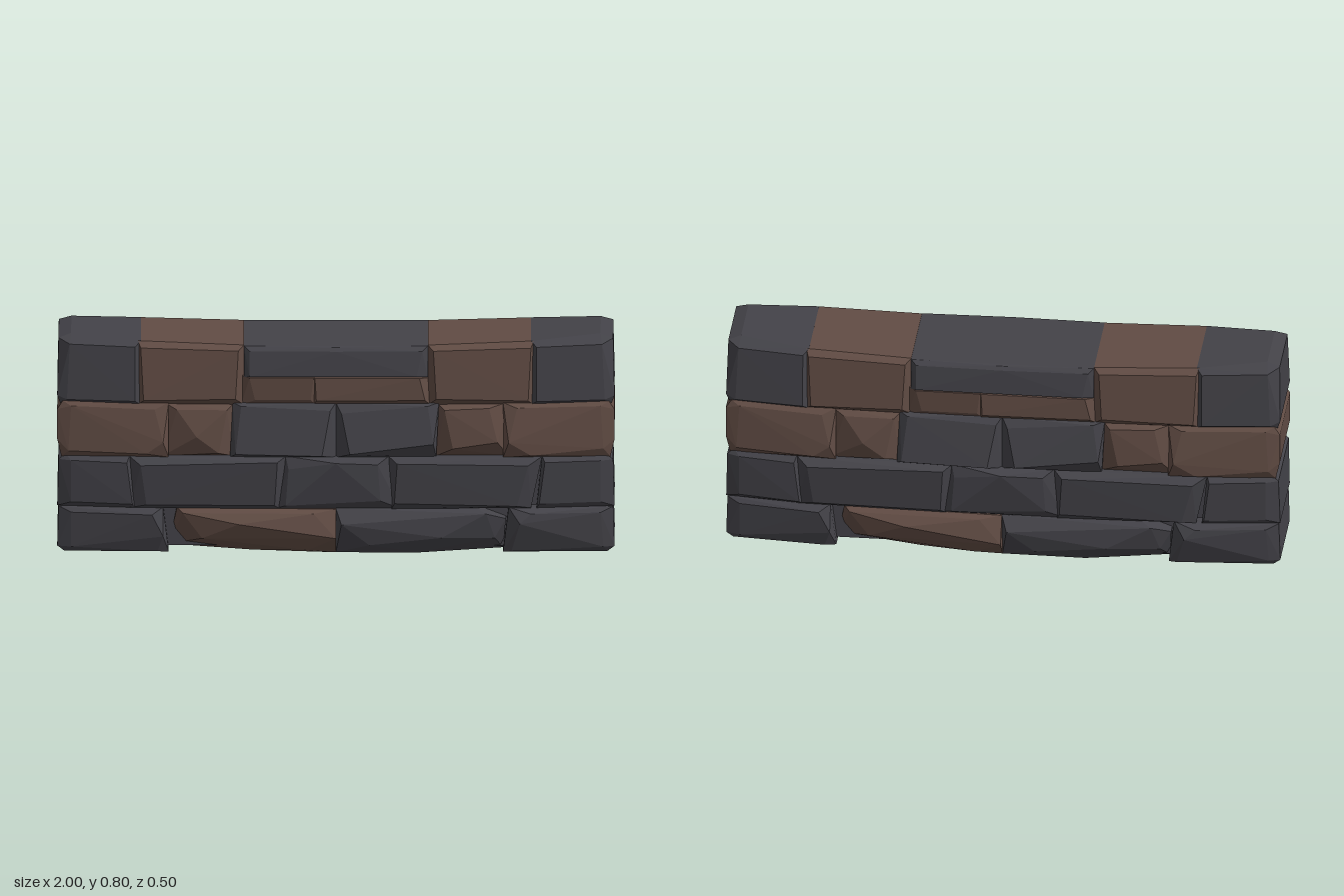
import * as THREE from 'three';
import { ConvexGeometry } from 'three/addons/geometries/ConvexGeometry.js';

const dark = new THREE.MeshStandardMaterial({ color: 0x434248 });
dark.name = 'darkStone';
const brown = new THREE.MeshStandardMaterial({ color: 0x614c44 });
brown.name = 'brownStone';

// A stone: outline points [x, y, edgeDepth] run back to the wall's middle plane,
// face points [x, y, z] form the rough-hewn front.
function stone(name, material, outline, face) {
  const points = [];
  for (const [x, y, z] of outline) {
    points.push(new THREE.Vector3(x, y, 0), new THREE.Vector3(x, y, z));
  }
  for (const p of face) points.push(new THREE.Vector3(...p));
  const mesh = new THREE.Mesh(new ConvexGeometry(points), material);
  mesh.name = name;
  return mesh;
}

// Mirrors a list of points across x
const flip = (pts) => pts.map(([x, y, z]) => [-x, y, z]);

// One face of the wall, from the middle plane outwards
function wallFace() {
  const g = new THREE.Group();
  const add = (...args) => g.add(stone(...args));

  // Bottom course, the inner stones tucked in underneath
  const footEnd = [[0.975, 0, 0.15], [1, 0.02, 0.155], [0.995, 0.168, 0.16], [0.62, 0.172, 0.19], [0.6, 0.005, 0.18]];
  add('footEndRight', dark, flip(footEnd),
    [[-0.95, 0.15, 0.18], [-0.95, 0.02, 0.172], [-0.66, 0.15, 0.22], [-0.62, 0.07, 0.218], [-0.64, 0.01, 0.198]]);
  add('footBrown', brown,
    [[-0.6, 0.01, 0.09], [-0.3, 0.004, 0.15], [0, 0.002, 0.18], [0, 0.168, 0.205], [-0.57, 0.172, 0.19]],
    [[-0.55, 0.155, 0.21], [-0.35, 0.12, 0.24], [-0.08, 0.155, 0.222], [0, 0.07, 0.247], [-0.48, 0.06, 0.205], [-0.1, 0.015, 0.2]]);
  add('footDark', dark,
    [[0, 0.002, 0.18], [0.3, 0.003, 0.185], [0.6, 0.008, 0.13], [0.61, 0.13, 0.19], [0.5, 0.172, 0.195], [0, 0.172, 0.205]],
    [[0.02, 0.12, 0.243], [0.12, 0.04, 0.226], [0.38, 0.07, 0.235], [0.54, 0.155, 0.222], [0.57, 0.06, 0.195]]);
  add('footEndLeft', dark, footEnd,
    [[0.95, 0.15, 0.18], [0.96, 0.02, 0.168], [0.66, 0.12, 0.232], [0.7, 0.155, 0.222], [0.63, 0.01, 0.194]]);

  // Second course
  const lowEnd = [[1, 0.17, 0.157], [0.995, 0.345, 0.17], [0.97, 0.365, 0.168], [0.74, 0.365, 0.195], [0.72, 0.17, 0.19]];
  add('lowEndRight', dark, flip(lowEnd),
    [[-0.95, 0.19, 0.185], [-0.95, 0.345, 0.19], [-0.75, 0.342, 0.215], [-0.73, 0.19, 0.22]]);
  add('lowLongRight', dark,
    [[-0.74, 0.17, 0.19], [-0.2, 0.17, 0.205], [-0.18, 0.365, 0.208], [-0.74, 0.362, 0.195]],
    [[-0.68, 0.187, 0.216], [-0.7, 0.335, 0.228], [-0.21, 0.35, 0.241], [-0.22, 0.187, 0.226]]);
  add('lowMiddle', dark,
    [[-0.22, 0.17, 0.2], [0.23, 0.17, 0.2], [0.19, 0.365, 0.204], [-0.18, 0.365, 0.204]],
    [[-0.17, 0.32, 0.221], [0, 0.35, 0.252], [0.15, 0.34, 0.232], [0.16, 0.205, 0.228], [-0.18, 0.187, 0.228]]);
  add('lowLongLeft', dark,
    [[0.2, 0.17, 0.205], [0.7, 0.17, 0.19], [0.74, 0.362, 0.195], [0.19, 0.365, 0.208]],
    [[0.22, 0.345, 0.241], [0.69, 0.335, 0.226], [0.65, 0.182, 0.216], [0.21, 0.195, 0.228]]);
  add('lowEndLeft', dark, lowEnd,
    [[0.95, 0.19, 0.18], [0.95, 0.345, 0.19], [0.75, 0.345, 0.219], [0.73, 0.19, 0.212]]);

  // Third course
  const midEnd = [[0.985, 0.355, 0.168], [1, 0.42, 0.172], [1, 0.53, 0.168], [0.98, 0.56, 0.165], [0.6, 0.56, 0.188], [0.6, 0.36, 0.2]];
  add('midEndRight', brown, flip(midEnd),
    [[-0.95, 0.545, 0.182], [-0.96, 0.38, 0.188], [-0.68, 0.377, 0.222], [-0.62, 0.42, 0.225], [-0.65, 0.537, 0.204]]);
  add('midSmallRight', brown,
    [[-0.62, 0.36, 0.178], [-0.37, 0.36, 0.178], [-0.36, 0.56, 0.175], [-0.62, 0.56, 0.175]],
    [[-0.57, 0.535, 0.2], [-0.5, 0.44, 0.224], [-0.39, 0.535, 0.204], [-0.42, 0.378, 0.216]]);
  add('midDarkRight', dark,
    [[-0.38, 0.36, 0.198], [0, 0.36, 0.202], [0, 0.56, 0.192], [-0.37, 0.56, 0.186]],
    [[-0.34, 0.55, 0.207], [-0.36, 0.378, 0.232], [-0.05, 0.373, 0.239], [-0.02, 0.535, 0.212]]);
  add('midDarkLeft', dark,
    [[0, 0.36, 0.202], [0.36, 0.36, 0.198], [0.37, 0.56, 0.186], [0, 0.56, 0.192]],
    [[0.02, 0.525, 0.212], [0.33, 0.55, 0.205], [0.35, 0.415, 0.23], [0.05, 0.38, 0.241]]);
  add('midSmallLeft', brown,
    [[0.36, 0.36, 0.178], [0.62, 0.36, 0.178], [0.62, 0.56, 0.175], [0.36, 0.56, 0.175]],
    [[0.39, 0.535, 0.204], [0.55, 0.542, 0.203], [0.58, 0.42, 0.222], [0.42, 0.395, 0.216]]);
  add('midEndLeft', brown, midEnd,
    [[0.95, 0.545, 0.18], [0.96, 0.39, 0.188], [0.7, 0.37, 0.216], [0.62, 0.42, 0.225], [0.65, 0.543, 0.204]]);

  // Top course
  const topEnd = [[0.99, 0.55, 0.15], [1, 0.58, 0.16], [0.995, 0.785, 0.13], [0.95, 0.8, 0.12], [0.7, 0.783, 0.165], [0.7, 0.55, 0.18]];
  const topEndFace = [[0.965, 0.567, 0.175], [0.955, 0.77, 0.165], [0.72, 0.765, 0.188], [0.72, 0.567, 0.201]];
  const topBlock = [[0.71, 0.55, 0.175], [0.71, 0.783, 0.165], [0.33, 0.77, 0.175], [0.33, 0.55, 0.182]];
  const topBlockFace = [[0.7, 0.762, 0.189], [0.35, 0.753, 0.199], [0.36, 0.577, 0.209], [0.69, 0.57, 0.203]];
  add('topEndRight', dark, flip(topEnd), flip(topEndFace));
  add('topBlockRight', brown, flip(topBlock), flip(topBlockFace));
  add('topBlockLeft', brown, topBlock, topBlockFace);
  add('topEndLeft', dark, topEnd, topEndFace);
  add('capstone', dark,
    [[-0.33, 0.655, 0.19], [0.33, 0.655, 0.19], [0.33, 0.768, 0.18], [0, 0.765, 0.192], [-0.33, 0.768, 0.18]],
    [[-0.31, 0.752, 0.196], [0.31, 0.752, 0.196], [0.29, 0.66, 0.208], [-0.31, 0.66, 0.208], [0, 0.752, 0.202]]);
  add('underCapRight', brown,
    [[-0.34, 0.55, 0.182], [-0.07, 0.55, 0.187], [-0.07, 0.66, 0.19], [-0.34, 0.66, 0.182]],
    [[-0.31, 0.655, 0.206], [-0.08, 0.655, 0.206], [-0.09, 0.572, 0.2], [-0.29, 0.572, 0.2]]);
  add('underCapLeft', brown,
    [[-0.08, 0.55, 0.187], [0.34, 0.55, 0.182], [0.33, 0.65, 0.182], [-0.08, 0.66, 0.19]],
    [[-0.075, 0.655, 0.208], [0.3, 0.655, 0.208], [0.32, 0.572, 0.207], [-0.07, 0.572, 0.212]]);
  return g;
}

export function createModel() {
  const wall = new THREE.Group();
  wall.name = 'stoneWall';

  // The two faces are the same, turned half way round
  const front = wallFace();
  front.name = 'frontFace';
  const back = wallFace();
  back.name = 'backFace';
  back.rotation.y = Math.PI;

  // Dark filling behind the joints
  const core = new THREE.Mesh(new THREE.BoxGeometry(1.9, 0.73, 0.3), dark);
  core.name = 'core';
  core.position.y = 0.385;

  wall.add(front, back, core);
  return wall;
}
